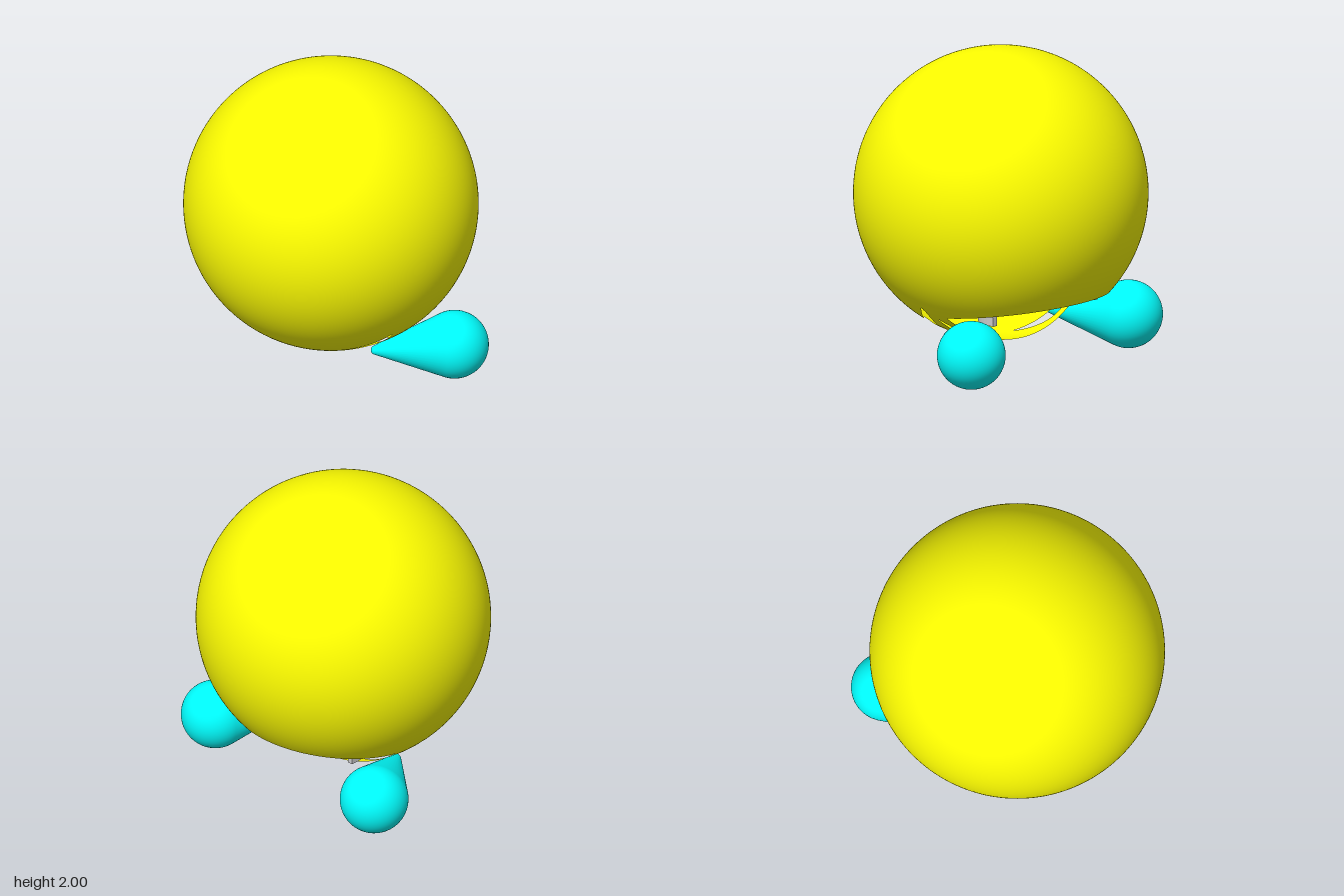
import * as THREE from 'three';

const R = 0.932, CY = 1.068;

// Crescent slot in plan, between chord ends a and b; negative inside
function crescent(x, z, a, b, inner, outer) {
  const dx = b[0] - a[0], dz = b[1] - a[1], len = Math.hypot(dx, dz);
  const px = x - (a[0] + b[0]) / 2, pz = z - (a[1] + b[1]) / 2;
  const s = (px * dx + pz * dz) / len / (len / 2);
  const t = (px * dz - pz * dx) / len;
  const w = 1 - s * s;
  return Math.max(t - outer * w, inner * w - t);
}

// Signed opening function for the underside: one wide rear mouth, two slots per side
function opening(p) {
  if (p.y > -0.3) return 1;
  const x = Math.abs(p.x), z = p.z;
  const lip = -0.2 + 0.07 * (x / 0.6) ** 2;
  return Math.min(
    Math.max(Math.hypot(x, z + 0.1) - 0.62, z - lip),
    crescent(x, z, [0.374, 0.31], [0.706, 0.025], 0.005, 0.09),
    crescent(x, z, [0.11, 0.005], [0.615, -0.025], 0.03, 0.105)
  );
}

// Sphere shell whose triangles are clipped cleanly along the openings
function shellGeometry() {
  const pos = [], nor = [];
  const emit = (poly) => {
    for (let i = 1; i < poly.length - 1; i++) {
      for (const p of [poly[0], poly[i], poly[i + 1]]) {
        pos.push(p.x, p.y, p.z);
        nor.push(p.x / R, p.y / R, p.z / R);
      }
    }
  };
  const clip = (tri) => {
    const out = [];
    tri.forEach((p, i) => {
      const q = tri[(i + 1) % 3], fp = opening(p), fq = opening(q);
      if (fp >= 0) out.push(p);
      if (fp >= 0 !== fq >= 0) out.push(p.clone().lerp(q, fp / (fp - fq)).setLength(R));
    });
    if (out.length > 2) emit(out);
  };
  const seg = 192, rows = 120;
  const at = (i, j) => new THREE.Vector3().setFromSphericalCoords(
    R, Math.PI * j / rows, 2 * Math.PI * i / seg);
  for (let j = 0; j < rows; j++) {
    for (let i = 0; i < seg; i++) {
      const a = at(i, j), b = at(i, j + 1), c = at(i + 1, j + 1), d = at(i + 1, j);
      if (j < rows - 1) clip([a, b, c]);
      else emit(opening(a) >= 0 ? [a, b, d] : []);
      if (j > 0 && j < rows - 1) clip([a, c, d]);
    }
  }
  const g = new THREE.BufferGeometry();
  g.setAttribute('position', new THREE.Float32BufferAttribute(pos, 3));
  g.setAttribute('normal', new THREE.Float32BufferAttribute(nor, 3));
  return g;
}

// Teardrop: large ball tapering tangentially to a small round tip
function footGeometry(big, small, length) {
  const pts = [], tangent = Math.asin((big - small) / length);
  const arc = (r, y, from, to, n) => {
    for (let i = 0; i <= n; i++) {
      const t = from + (to - from) * i / n;
      pts.push(new THREE.Vector2(Math.max(0, r * Math.cos(t)), y + r * Math.sin(t)));
    }
  };
  arc(big, 0, -Math.PI / 2, tangent, 32);
  arc(small, length, tangent, Math.PI / 2, 10);
  return new THREE.LatheGeometry(pts, 48);
}

// U-shaped strip lying inside the mouth
function bandGeometry() {
  const n = 40, outline = [];
  const side = (rx, rz, dir) => {
    for (let i = 0; i <= n; i++) {
      const t = Math.PI * (dir > 0 ? i : n - i) / n;
      const c = Math.cos(t), s = Math.sin(t);
      outline.push(new THREE.Vector2(
        rx * Math.sign(c) * Math.abs(c) ** 0.62,
        -(-0.39 + rz * Math.abs(s) ** 0.62)));
    }
  };
  side(0.475, 0.26, 1);
  side(0.44, 0.225, -1);
  const g = new THREE.ExtrudeGeometry(new THREE.Shape(outline), { depth: 0.09, bevelEnabled: false });
  return g.rotateX(-Math.PI / 2);
}

export function createModel() {
  const model = new THREE.Group();
  const yellow = new THREE.MeshStandardMaterial({ color: 0xffff00, side: THREE.DoubleSide });
  const cyan = new THREE.MeshStandardMaterial({ color: 0x00ffff });
  const grey = new THREE.MeshStandardMaterial({ color: 0xcccccc });

  const add = (name, geometry, material, x, y, z) => {
    const mesh = new THREE.Mesh(geometry, material);
    mesh.name = name;
    mesh.position.set(x, y, z);
    model.add(mesh);
    return mesh;
  };

  add('bodyShell', shellGeometry(), yellow, 0, CY, 0);
  add('mouthBand', bandGeometry(), grey, 0, 0.35, 0);

  // Feet point forward and inward under the body
  const foot = footGeometry(0.217, 0.03, 0.503);
  for (const s of [1, -1]) {
    const mesh = add(s > 0 ? 'leftFoot' : 'rightFoot', foot, cyan, s * 0.715, 0.217, -0.43);
    mesh.quaternion.setFromUnitVectors(
      new THREE.Vector3(0, 1, 0), new THREE.Vector3(-s * 0.49, 0, 0.87).normalize());
  }
  return model;
}
